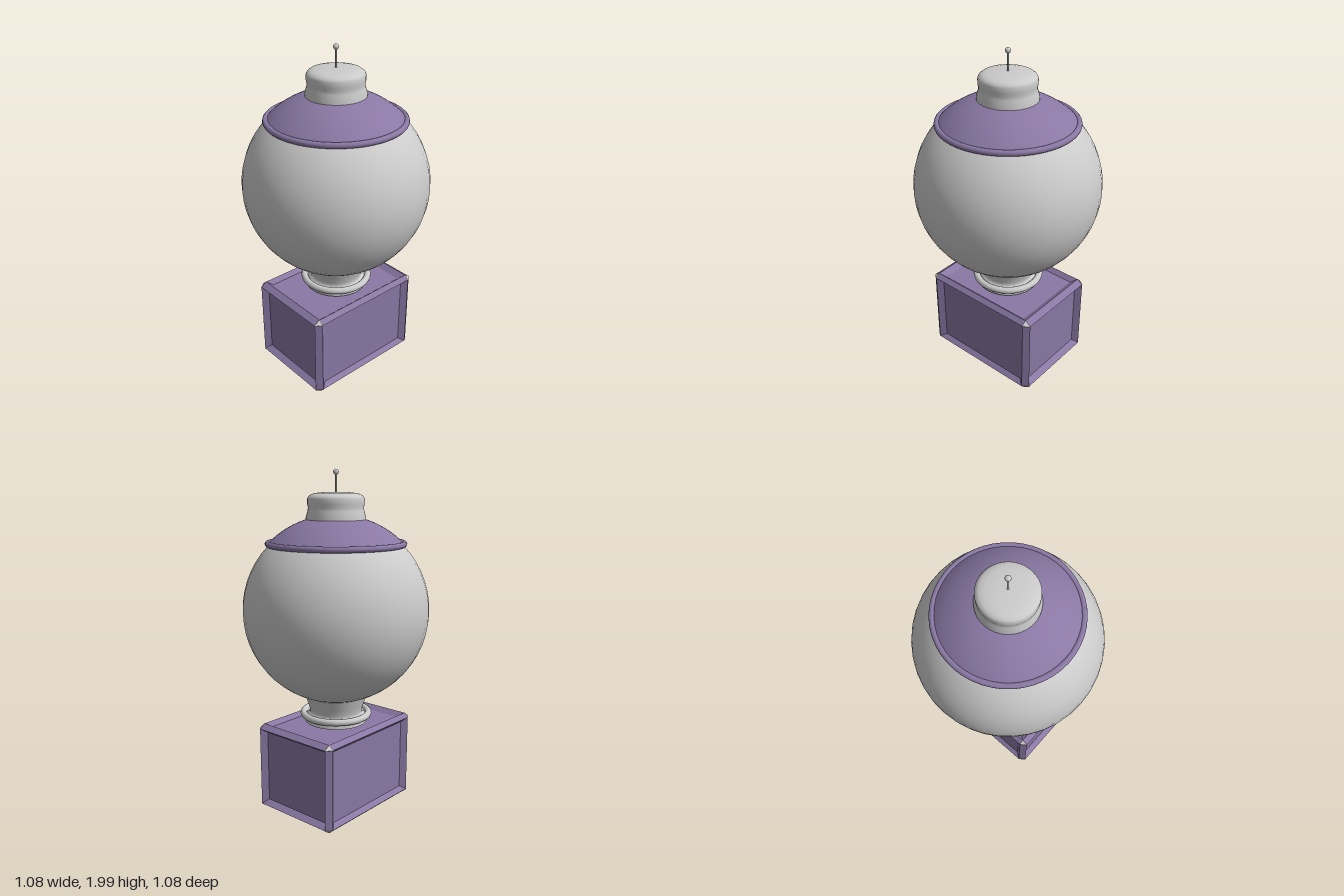
import * as THREE from 'three';

export function createModel() {
  const model = new THREE.Group();
  const grey = new THREE.MeshStandardMaterial({ color: 0xcccccc });
  const greyOpen = new THREE.MeshStandardMaterial({ color: 0xcccccc, side: THREE.DoubleSide });
  const greyFlat = new THREE.MeshStandardMaterial({ color: 0xcccccc, flatShading: true });
  const purple = new THREE.MeshStandardMaterial({ color: 0x8a78a4, side: THREE.DoubleSide });
  const purpleFlat = new THREE.MeshStandardMaterial({ color: 0x8a78a4, flatShading: true });

  const add = (name, geometry, material, x = 0, y = 0, z = 0, parent = model) => {
    const mesh = new THREE.Mesh(geometry, material);
    mesh.name = name;
    mesh.position.set(x, y, z);
    parent.add(mesh);
    return mesh;
  };
  const lathe = (points) =>
    new THREE.LatheGeometry(points.map(([r, y]) => new THREE.Vector2(r, y)), 40);
  const ring = (name, radius, tube, y, material) => {
    add(name, new THREE.TorusGeometry(radius, tube, 12, 48), material, 0, y).rotation.x = Math.PI / 2;
  };

  // Base: a unit cube framed by diamond-section beams, stretched to size
  const base = new THREE.Group();
  base.name = 'base';
  base.scale.set(0.7, 0.478, 0.514);
  base.position.y = 0.272;
  model.add(base);
  const beamRadius = 0.052;
  add('basePanels', new THREE.BoxGeometry(1, 1, 1), purpleFlat, 0, 0, 0, base);
  const beam = new THREE.CylinderGeometry(beamRadius, beamRadius, 1, 4);
  for (const a of [-0.5, 0.5]) {
    for (const b of [-0.5, 0.5]) {
      add('uprightBeam', beam, purpleFlat, a, 0, b, base);
      add('widthBeam', beam, purpleFlat, 0, a, b, base).rotation.z = Math.PI / 2;
      add('depthBeam', beam, purpleFlat, a, b, 0, base).rotation.x = Math.PI / 2;
      for (const c of [-0.5, 0.5]) {
        add('cornerStud', new THREE.OctahedronGeometry(0.056), greyFlat, a, b, c, base);
      }
    }
  }

  // Neck between base and globe
  add('neck', lathe([[0.185, 0.53], [0.185, 0.57], [0.155, 0.572], [0.155, 0.6],
    [0.168, 0.64], [0.19, 0.71]]), greyOpen);
  ring('neckRing', 0.194, 0.02, 0.576, grey);

  // Globe
  add('globe', new THREE.SphereGeometry(0.54, 40, 28), grey, 0, 1.2);

  // Shade over the globe, with a rolled rim
  const shadeRadius = 0.55;
  add('shade', new THREE.SphereGeometry(shadeRadius, 48, 12, 0, Math.PI * 2, 0,
    Math.acos(0.387 / shadeRadius)), purple, 0, 1.2);
  ring('shadeRim', 0.388, 0.017, 1.588, purple);

  // Cap on top of the shade
  add('cap', lathe([[0.171, 1.7], [0.171, 1.735], [0.16, 1.772], [0.158, 1.79], [0.162, 1.81],
    [0.162, 1.838], [0.155, 1.851], [0.14, 1.862], [0.11, 1.869], [0.06, 1.874], [0, 1.875]]), greyOpen);

  // Finial rod and ball
  add('finialRod', new THREE.CylinderGeometry(0.005, 0.005, 0.13, 10), grey, 0, 1.925);
  add('finialBall', new THREE.SphereGeometry(0.016, 16, 12), grey, 0, 1.984);

  return model;
}
